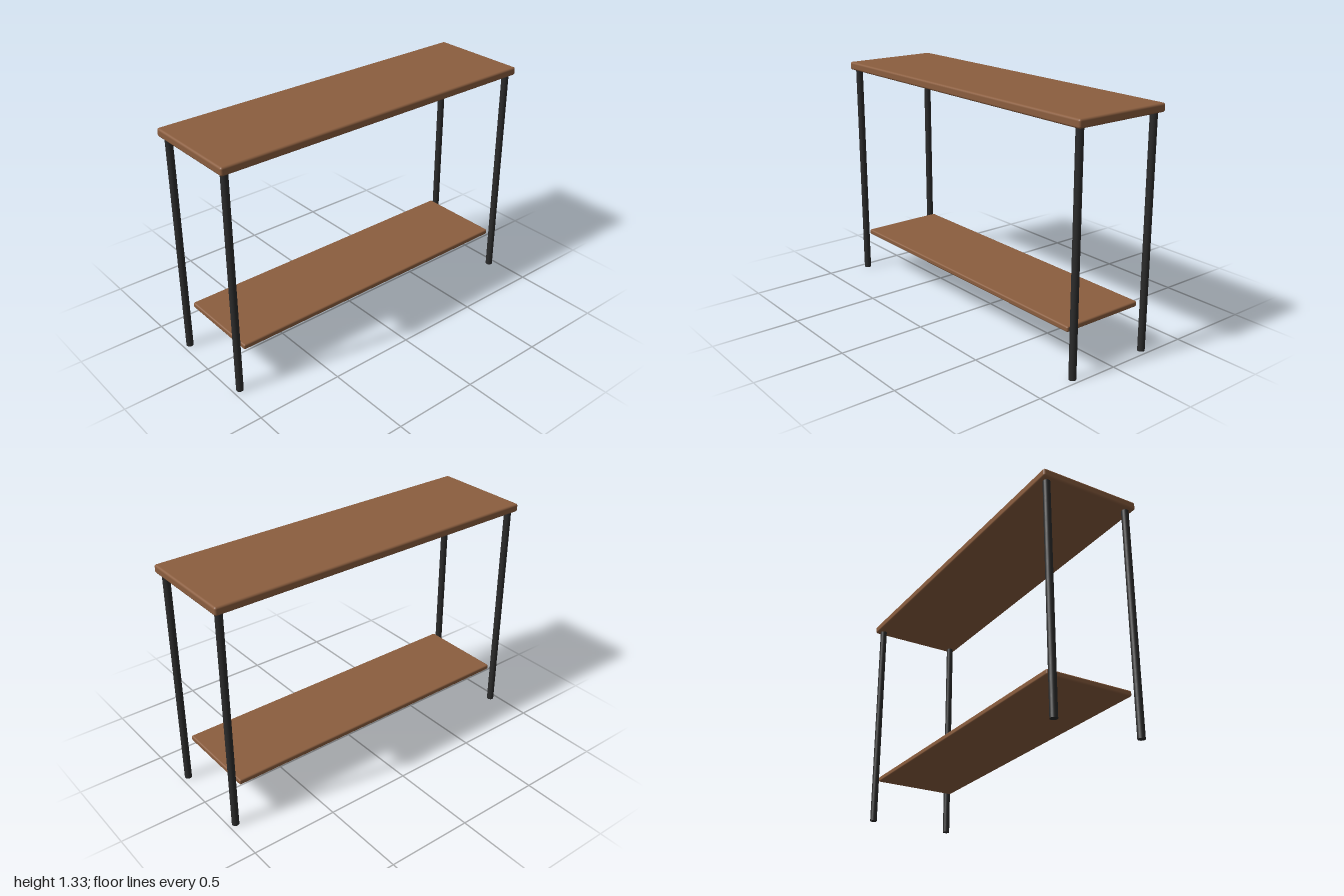
import * as THREE from 'three';
import { RoundedBoxGeometry } from 'three/addons/geometries/RoundedBoxGeometry.js';

const wood = new THREE.MeshStandardMaterial({ color: 0x8b5e3f });
const metal = new THREE.MeshStandardMaterial({ color: 0x2b2b2b });

// Board with softened edges, placed by its underside
function board(name, width, thickness, depth, bottom, radius) {
  const mesh = new THREE.Mesh(new RoundedBoxGeometry(width, thickness, depth, 4, radius), wood);
  mesh.name = name;
  mesh.position.y = bottom + thickness / 2;
  return mesh;
}

export function createModel() {
  const table = new THREE.Group();
  table.name = 'consoleTable';

  // Table top and lower shelf
  const legHeight = 1.286;
  table.add(board('tableTop', 2, 0.047, 0.58, legHeight, 0.012));
  table.add(board('lowerShelf', 1.83, 0.031, 0.5, 0.236, 0.009));

  // Four round legs
  const legGeometry = new THREE.CylinderGeometry(0.02, 0.02, legHeight, 24);
  for (const [endName, z] of [['front', 0.25], ['back', -0.25]]) {
    for (const [sideName, x] of [['Left', 0.96], ['Right', -0.96]]) {
      const leg = new THREE.Mesh(legGeometry, metal);
      leg.name = `${endName}${sideName}Leg`;
      leg.position.set(x, legHeight / 2, z);
      table.add(leg);
    }
  }
  return table;
}
